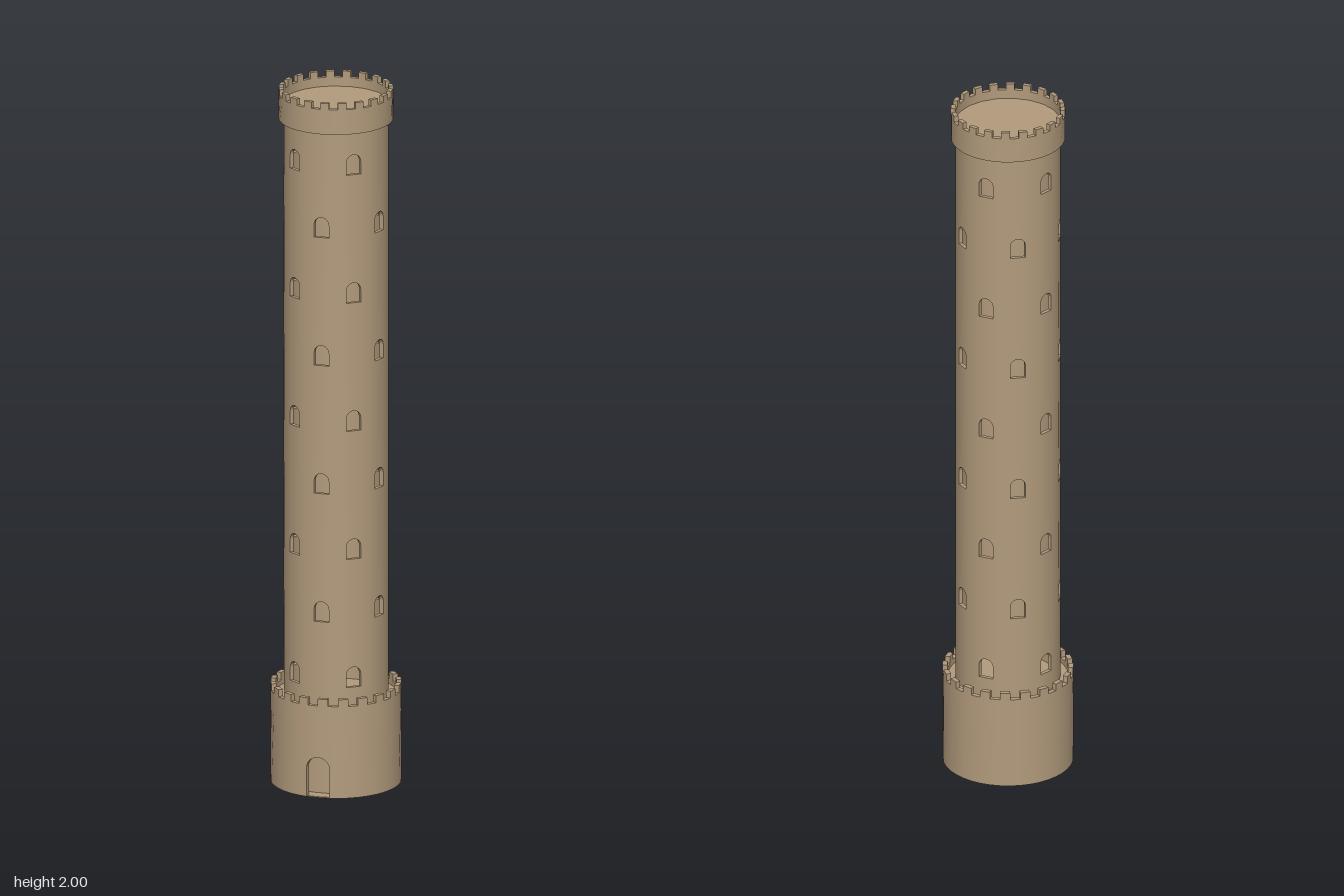
import * as THREE from 'three';
import { mergeGeometries } from 'three/addons/utils/BufferGeometryUtils.js';

const DEG = Math.PI / 180;

// Extrude a flat (arc length, height) shape and bend it round the tower axis
function bentWall(shape, radius, thickness, turn = 0) {
  const geo = new THREE.ExtrudeGeometry(shape, { depth: thickness, bevelEnabled: false, curveSegments: 10 });
  const pos = geo.attributes.position, nor = geo.attributes.normal;
  for (let i = 0; i < pos.count; i++) {
    const a = pos.getX(i) / radius + turn;
    const r = radius - thickness + pos.getZ(i);
    const s = Math.sin(a), c = Math.cos(a);
    const nx = nor.getX(i), nz = nor.getZ(i);
    pos.setXYZ(i, r * s, pos.getY(i), r * c);
    nor.setXYZ(i, nx * c + nz * s, nor.getY(i), nz * c - nx * s);
  }
  return geo;
}

const polygon = (points) => new THREE.Shape(points.map(([x, y]) => new THREE.Vector2(x, y)));

// Rectangle from angle a0 to a1 (degrees)
function slab(radius, a0, a1, y0, y1) {
  const x0 = a0 * DEG * radius, x1 = a1 * DEG * radius;
  return polygon([[x0, y0], [x1, y0], [x1, y1], [x0, y1]]);
}

// One 18 degree bay of a battlement: half merlon, half gap
function battlementBay(radius, y0, yGap, yTop) {
  const w = 9 * DEG * radius;
  return polygon([[0, y0], [w, y0], [2 * w, y0], [2 * w, yGap], [w, yGap], [w, yTop], [0, yTop]]);
}

function archHole(width, bottom, top) {
  const h = width / 2, spring = top - h;
  const hole = new THREE.Path();
  hole.moveTo(-h, bottom);
  hole.lineTo(h, bottom);
  hole.lineTo(h, spring);
  hole.absarc(0, spring, h, 0, Math.PI, false);
  hole.lineTo(-h, bottom);
  return hole;
}

export function createModel() {
  const tower = new THREE.Group();
  tower.name = 'tower';
  const stone = new THREE.MeshStandardMaterial({ color: 0xb29b7c });
  stone.name = 'stone';

  const add = (name, geo, y = 0) => {
    const mesh = new THREE.Mesh(geo, stone);
    mesh.name = name;
    mesh.position.y = y;
    tower.add(mesh);
  };

  // Hollow shaft: every second column carries windows, staggered in height
  const R = 0.145, T = 0.011, shaftTop = 1.95;
  const columns = [];
  for (let k = 0; k < 20; k++) {
    const turn = k * 18 * DEG;
    if (k % 2) {
      columns.push(bentWall(slab(R, -9, 0, 0, shaftTop), R, T, turn));
      columns.push(bentWall(slab(R, 0, 9, 0, shaftTop), R, T, turn));
      continue;
    }
    const panel = slab(R, -9, 9, 0, shaftTop);
    const staggered = k % 4 === 0;
    const rows = staggered ? 4 : 5;
    for (let i = 0; i < rows; i++) {
      const sill = (staggered ? 1.607 : 1.788) - 0.37 * i;
      panel.holes.push(archHole(0.042, sill, sill + 0.058));
    }
    columns.push(bentWall(panel, R, T, turn));
  }
  add('shaft', mergeGeometries(columns));

  // Base wall with battlements; the two front bays hold the doorway
  const BR = 0.181, BT = 0.014, gap = 0.265, top = 0.285;
  const bays = [];
  for (let k = 1; k < 19; k++) {
    bays.push(bentWall(battlementBay(BR, 0, gap, top), BR, BT, k * 18 * DEG));
  }
  const w = 9 * DEG * BR, h = 0.033, spring = 0.083;
  const front = new THREE.Shape();
  front.moveTo(-2 * w, 0);
  front.lineTo(-h, 0);
  front.lineTo(-h, spring);
  front.absarc(0, spring, h, Math.PI, 0, true);
  front.lineTo(h, 0);
  front.lineTo(2 * w, 0);
  [[2, gap], [1, gap], [1, top], [0, top], [0, gap], [-1, gap], [-1, top], [-2, top]]
    .forEach(([n, y]) => front.lineTo(n * w, y));
  bays.push(bentWall(front, BR, BT));
  add('baseWall', mergeGeometries(bays));

  // Ground slab and the walkway behind the base battlements
  add('baseFloor', new THREE.CylinderGeometry(0.18, 0.18, 0.003, 40), 0.0015);
  add('baseWalkway', new THREE.CylinderGeometry(0.168, 0.168, 0.008, 40), 0.246);

  // Overhanging crown with battlements
  const CR = 0.158;
  const crown = [];
  for (let k = 0; k < 20; k++) {
    crown.push(bentWall(battlementBay(CR, 1.91, 1.982, 2), CR, 0.0125, k * 18 * DEG));
  }
  add('crown', mergeGeometries(crown));
  add('roofFloor', new THREE.CylinderGeometry(0.147, 0.147, 0.012, 40), 1.95);

  return tower;
}
